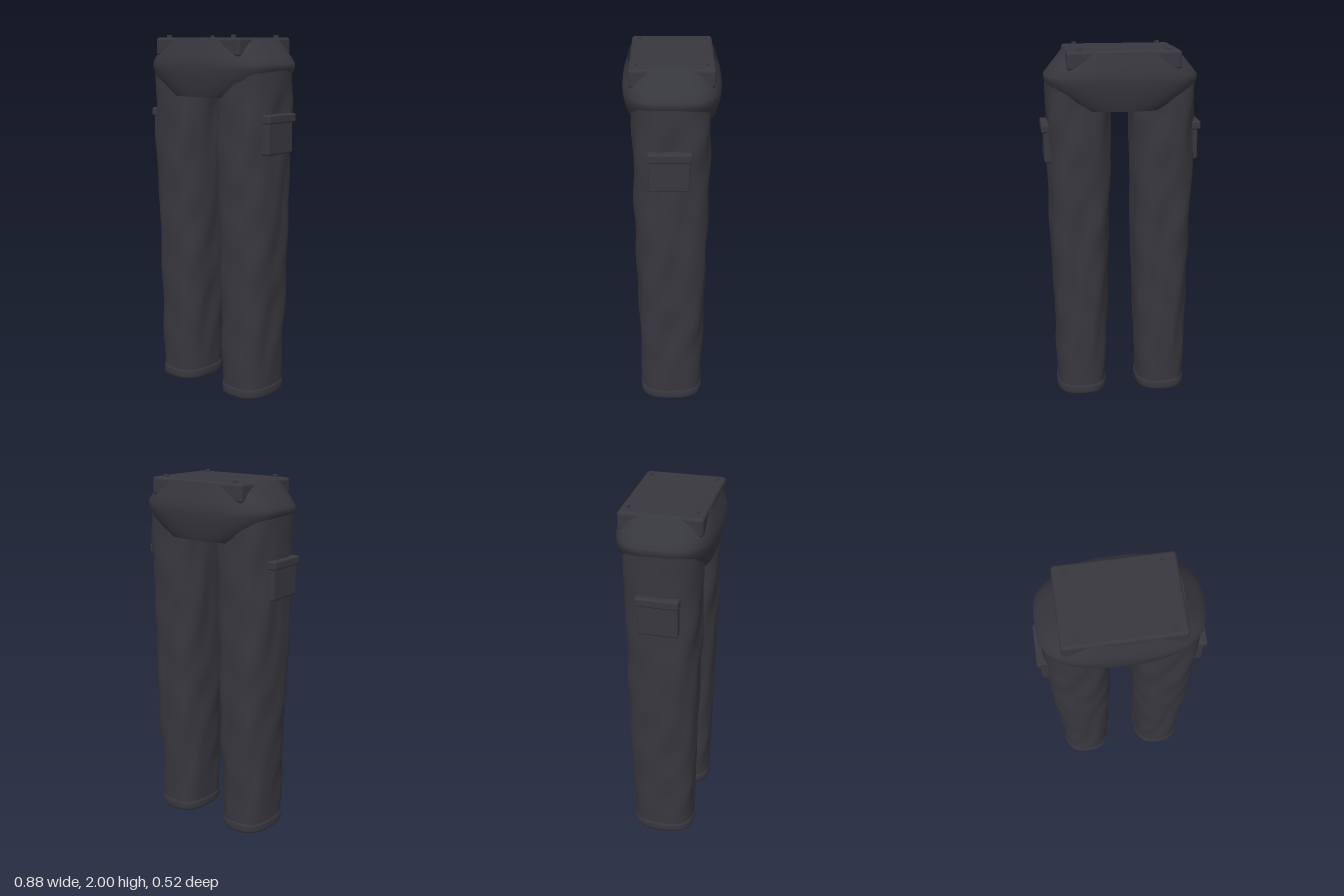
import * as THREE from 'three';
import { RoundedBoxGeometry } from 'three/addons/geometries/RoundedBoxGeometry.js';

const cloth = new THREE.MeshStandardMaterial({ color: 0x37373e, side: THREE.DoubleSide });
cloth.name = 'charcoal cloth';

// Closed tube through horizontal rings; point(angle, row) gives [x, y, z]
function loft(rows, segments, point) {
  const positions = [], index = [];
  for (let r = 0; r < rows; r++) {
    for (let s = 0; s < segments; s++) {
      positions.push(...point((s / segments) * Math.PI * 2, r));
      if (r === rows - 1) continue;
      const n = (s + 1) % segments;
      const a = r * segments + s, b = r * segments + n;
      index.push(a, a + segments, b, b, a + segments, b + segments);
    }
  }
  const geometry = new THREE.BufferGeometry();
  geometry.setAttribute('position', new THREE.Float32BufferAttribute(positions, 3));
  geometry.setIndex(index);
  geometry.computeVertexNormals();
  return geometry;
}

// Rounded-rectangle outline
function superEllipse(angle, rx, rz, power) {
  const c = Math.cos(angle), s = Math.sin(angle);
  const k = Math.pow(Math.abs(c) ** power + Math.abs(s) ** power, -1 / power);
  return [c * k * rx, s * k * rz];
}

// Piecewise-linear lookup in rows of [y, a, b, ...]
function lookup(table, y) {
  let i = 0;
  while (i < table.length - 2 && y > table[i + 1][0]) i++;
  const t = (y - table[i][0]) / (table[i + 1][0] - table[i][0]);
  return table[i].slice(1).map((v, k) => THREE.MathUtils.lerp(v, table[i + 1][k + 1], t));
}

// Leg outline by height: y, inner x, outer x, back z, front z
const LEG = [
  [0, 0.096, 0.37, -0.165, 0.175],
  [0.5, 0.08, 0.382, -0.18, 0.185],
  [1.0, 0.066, 0.398, -0.19, 0.198],
  [1.5, 0.056, 0.404, -0.2, 0.206],
  [1.84, 0.055, 0.41, -0.2, 0.208],
];

// Diagonal cloth folds, fading out at both ends of the leg
function folds(angle, y) {
  const fade = Math.min(1, y / 0.3, Math.max(0, (1.84 - y) / 0.2));
  const wave = 0.5 * Math.sin(5 * angle + 7 * y + 1.2 * Math.sin(4 * y))
    + 0.4 * Math.sin(8 * angle + 12 * y + 1.5 * Math.sin(2 * angle - 5 * y))
    + 0.3 * Math.sin(3 * angle - 17 * y);
  return 0.007 * fade * wave;
}

function legPoint(angle, y, side, extra = 0) {
  const [inner, outer, back, front] = lookup(LEG, y);
  const grow = folds(angle, y) + extra;
  const [x, z] = superEllipse(angle, (outer - inner) / 2 + grow, (front - back) / 2 + grow, 2.7);
  return [side * (inner + outer) / 2 + x, y, (front + back) / 2 + z];
}

// Hip outline by height: y, half width, half depth
const HIPS = [
  [1.67, 0.25, 0.222], [1.705, 0.31, 0.236], [1.77, 0.385, 0.252],
  [1.82, 0.415, 0.26], [1.85, 0.415, 0.26], [1.89, 0.382, 0.255],
  [1.94, 0.342, 0.238], [1.98, 0.31, 0.229],
];

export function createModel() {
  const model = new THREE.Group();
  model.name = 'cargoTrousers';
  const add = (name, geometry, x = 0, y = 0, z = 0) => {
    const mesh = new THREE.Mesh(geometry, cloth);
    mesh.name = name;
    mesh.position.set(x, y, z);
    model.add(mesh);
    return mesh;
  };

  // Waist block and open hip shell
  add('waist', new RoundedBoxGeometry(0.61, 0.1, 0.44, 3, 0.018), 0, 1.937, 0);
  add('hips', loft(HIPS.length, 48, (a, r) => {
    const [y, rx, rz] = HIPS[r];
    const [x, z] = superEllipse(a, rx, rz, 3.1);
    return [x, y, z];
  }));

  // Belt loops standing on the waist corners
  for (const x of [-0.234, 0.234])
    for (const z of [-0.18, 0.18])
      add('beltLoop', new RoundedBoxGeometry(0.026, 0.03, 0.016, 2, 0.003), x, 1.985, z);

  // Legs, hems and side pockets
  const rows = 80;
  const hem = [[0.005, 0], [0, 0.004], [0.012, 0.008], [0.04, 0.008], [0.052, 0.004], [0.055, -0.002]];
  for (const side of [-1, 1]) {
    const label = side > 0 ? 'left' : 'right';
    add(label + 'Leg', loft(rows, 56, (a, r) => legPoint(a, (r / (rows - 1)) * 1.84, side)));
    add(label + 'Hem', loft(hem.length, 56, (a, r) => legPoint(a, hem[r][0], side, hem[r][1] - 0.002)));
    add(label + 'Pocket', new RoundedBoxGeometry(0.05, 0.19, 0.215, 3, 0.012), side * 0.4, 1.467, 0.015);
    add(label + 'PocketFlap', new RoundedBoxGeometry(0.06, 0.048, 0.23, 3, 0.01), side * 0.409, 1.564, 0.013);
  }
  return model;
}
